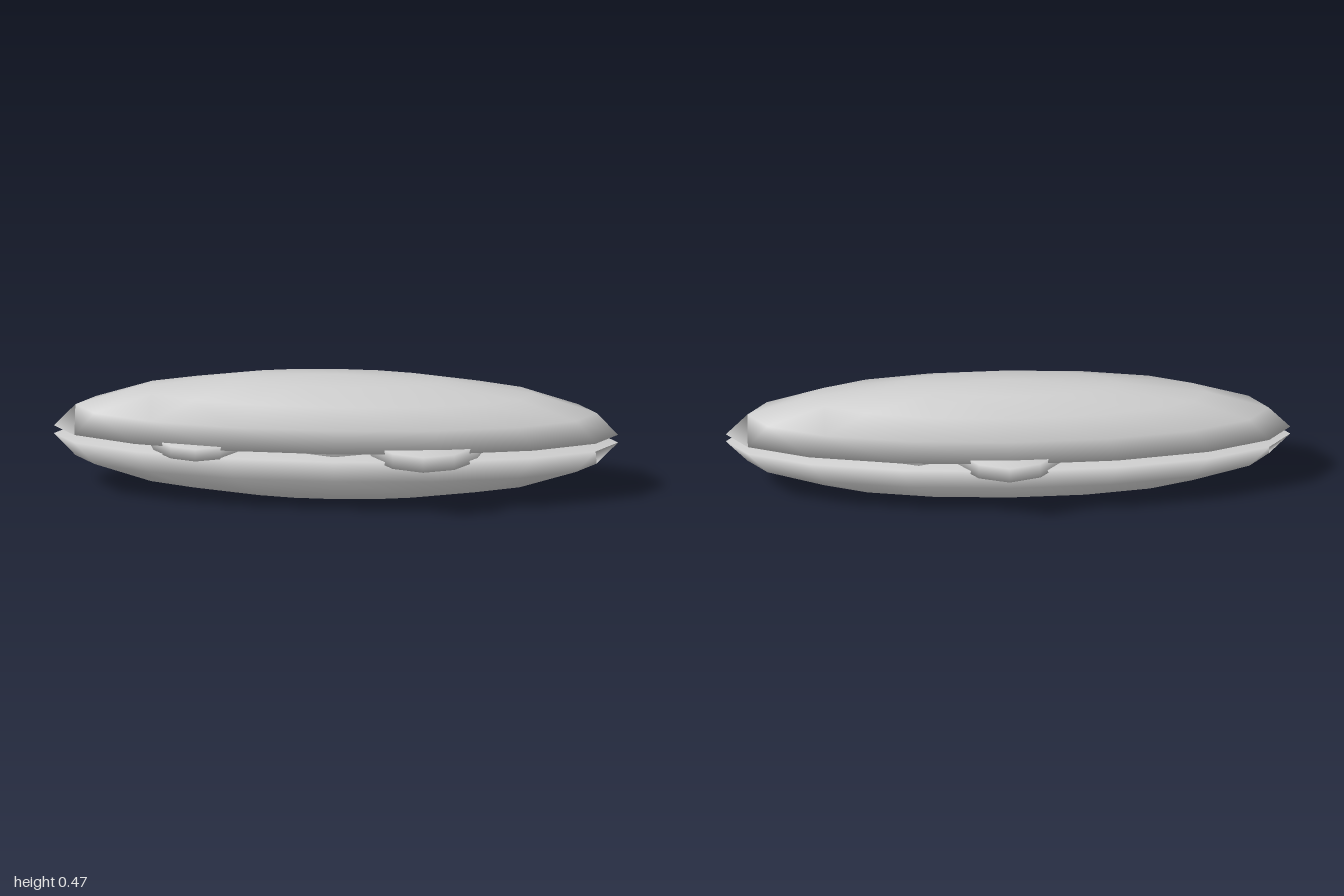
import * as THREE from 'three';
import { mergeVertices } from 'three/addons/utils/BufferGeometryUtils.js';

const material = new THREE.MeshStandardMaterial({ color: 0xcccccc });

// Weld a geometry so its shading runs smoothly over the rims
function weld(geometry) {
  geometry.deleteAttribute('uv');
  geometry.deleteAttribute('normal');
  const welded = mergeVertices(geometry, 1e-4);
  welded.computeVertexNormals();
  return welded;
}

function addPart(parent, name, geometry, x, y, z) {
  const mesh = new THREE.Mesh(weld(geometry), material);
  mesh.name = name;
  mesh.position.set(x, y, z);
  parent.add(mesh);
}

// Closed half ellipsoid, 16 sides and 4 rings; dir +1 domes up, -1 down
function halfLoaf(dir, height) {
  const profile = [new THREE.Vector2(0, 0)];
  for (let i = 0; i <= 4; i++) {
    const a = (i * Math.PI) / 8;
    profile.push(new THREE.Vector2(i === 4 ? 0 : Math.cos(a), dir * Math.sin(a)));
  }
  if (dir < 0) profile.reverse();
  return new THREE.LatheGeometry(profile, 16).scale(1, height, 0.215);
}

export function createModel() {
  const group = new THREE.Group();
  group.name = 'filledRoll';

  // Bread halves with a narrow gap between them
  addPart(group, 'topBread', halfLoaf(1, 0.217), 0, 0.248, 0);
  addPart(group, 'bottomBread', halfLoaf(-1, 0.218), 0, 0.218, 0);

  // Round slices sticking out of the gap: x, y, z, radius, thickness
  const slices = [
    [-0.49, 0.237, 0.045, 0.175, 0.046],
    [0, 0.234, -0.047, 0.218, 0.058],
    [0.32, 0.234, 0.047, 0.218, 0.058],
  ];
  slices.forEach(([x, y, z, r, h], i) =>
    addPart(group, `slice${i + 1}`, new THREE.CylinderGeometry(r, r, h, 12), x, y, z));

  return group;
}
